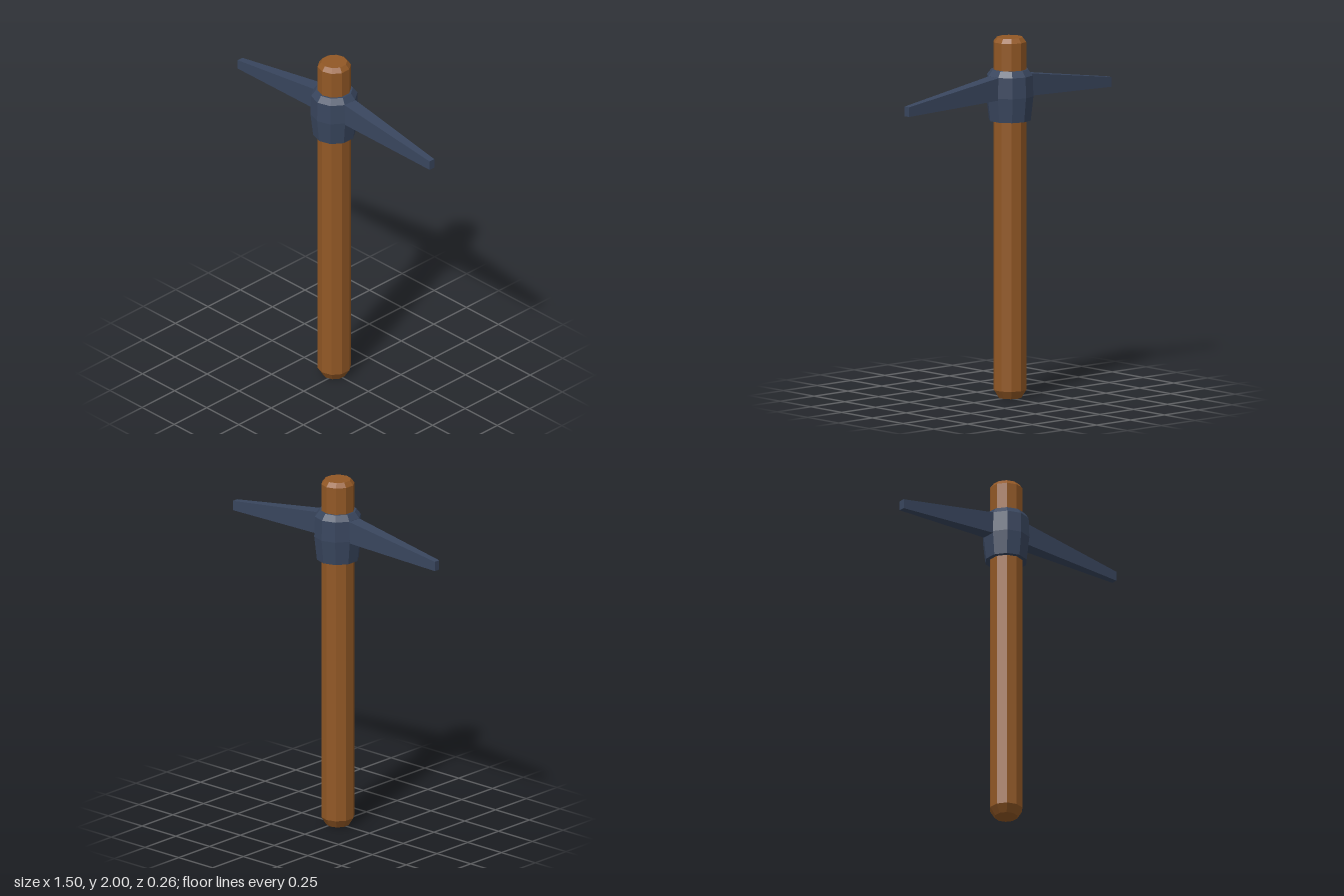
import * as THREE from 'three';

const SIDES = 10;
const AXIS_X = -0.016; // the shaft sits slightly off the middle

function mat(name, color) {
  const m = new THREE.MeshStandardMaterial({ color, flatShading: true });
  m.name = name;
  return m;
}

// Ten-sided turned part from [radius, height] pairs, bottom to top
function turned(name, profile, material) {
  const points = profile.map(([r, y]) => new THREE.Vector2(r, y));
  const mesh = new THREE.Mesh(new THREE.LatheGeometry(points, SIDES), material);
  mesh.name = name;
  mesh.position.x = AXIS_X;
  return mesh;
}

// Box that tapers from its root inside the collar to a small square tip
function taperedArm(name, side, tipX, material) {
  const root = { x: AXIS_X + side * 0.06, low: 1.667, high: 1.798, half: 0.043 };
  const tip = { x: tipX, low: 1.643, high: 1.697, half: 0.018 };
  const geo = new THREE.BoxGeometry(1, 1, 1);
  const p = geo.attributes.position;
  for (let i = 0; i < p.count; i++) {
    const end = p.getX(i) * side > 0 ? tip : root;
    p.setXYZ(i, end.x, p.getY(i) > 0 ? end.high : end.low, Math.sign(p.getZ(i)) * end.half);
  }
  geo.computeVertexNormals();
  const mesh = new THREE.Mesh(geo, material);
  mesh.name = name;
  return mesh;
}

export function createModel() {
  const wood = mat('brown wood', 0x925825);
  const iron = mat('dark blue iron', 0x39465e);
  const group = new THREE.Group();
  group.name = 'pickaxe';

  // Wooden shaft with chamfered ends
  group.add(turned('handle', [
    [0, 0], [0.064, 0], [0.0925, 0.045], [0.0925, 1.975], [0.072, 2], [0, 2],
  ], wood));

  // Iron collar around the shaft
  group.add(turned('collar', [
    [0.088, 1.54], [0.117, 1.54], [0.132, 1.675], [0.128, 1.79], [0.103, 1.823], [0.088, 1.823],
  ], iron));

  // Two tapering arms
  group.add(taperedArm('leftArm', 1, 0.745, iron));
  group.add(taperedArm('rightArm', -1, -0.75, iron));
  return group;
}
